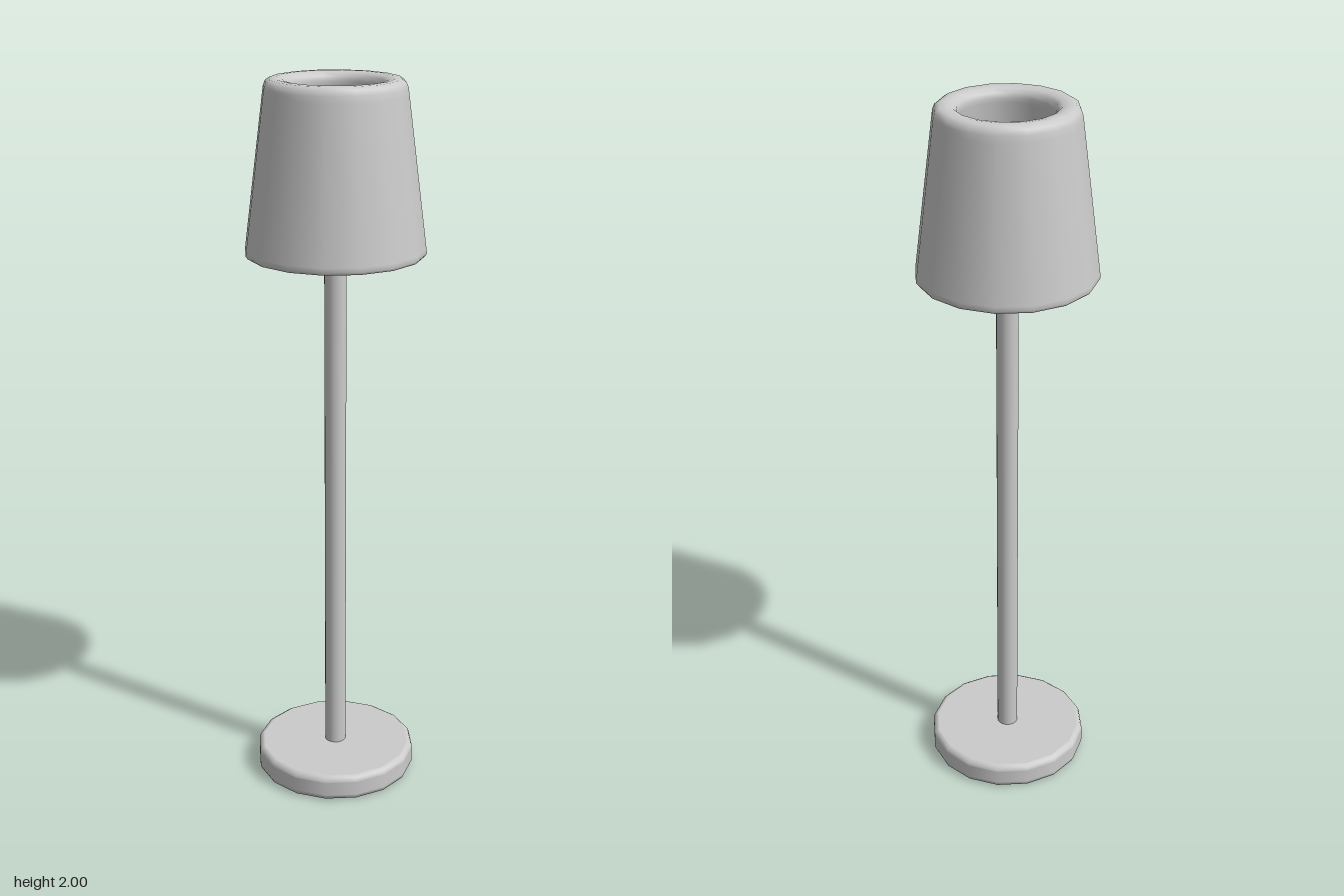
import * as THREE from 'three';

const SIDES = 16;

export function createModel() {
  const lamp = new THREE.Group();
  lamp.name = 'floorLamp';
  const material = new THREE.MeshStandardMaterial({ color: 0xcccccc });

  const add = (name, geometry) => {
    const mesh = new THREE.Mesh(geometry, material);
    mesh.name = name;
    lamp.add(mesh);
    return mesh;
  };
  const lathe = (profile) =>
    new THREE.LatheGeometry(profile.map(([r, y]) => new THREE.Vector2(r, y)), SIDES);

  // Round foot with softened edges
  add('base', lathe([
    [0, 0], [0.212, 0], [0.216, 0], [0.224, 0.005], [0.228, 0.014], [0.228, 0.018],
    [0.228, 0.057], [0.228, 0.061], [0.224, 0.07], [0.216, 0.075], [0.212, 0.075], [0, 0.075],
  ]));

  // Pole from the foot up to the cross bar
  const poleTop = 1.92;
  const pole = add('pole', new THREE.CylinderGeometry(0.03, 0.03, poleTop - 0.07, SIDES));
  pole.position.y = (poleTop + 0.07) / 2;

  // Thick tapered shade, open at both ends, with rounded rims
  add('shade', lathe([
    [0.183, 1.56], [0.185, 1.55], [0.194, 1.542], [0.208, 1.538], [0.225, 1.538],
    [0.238, 1.541], [0.243, 1.548], [0.2417, 1.56],
    [0.1905, 1.96], [0.188, 1.978], [0.183, 1.991], [0.172, 1.999], [0.155, 2.0],
    [0.138, 1.997], [0.127, 1.988], [0.124, 1.975], [0.126, 1.963], [0.183, 1.56],
  ]));

  // Thin bar across the shade, carried by the pole
  const bar = add('crossBar', new THREE.BoxGeometry(0.29, 0.012, 0.012));
  bar.position.y = poleTop - 0.008;
  bar.rotation.y = -Math.atan2(0.07, 0.105);

  return lamp;
}
